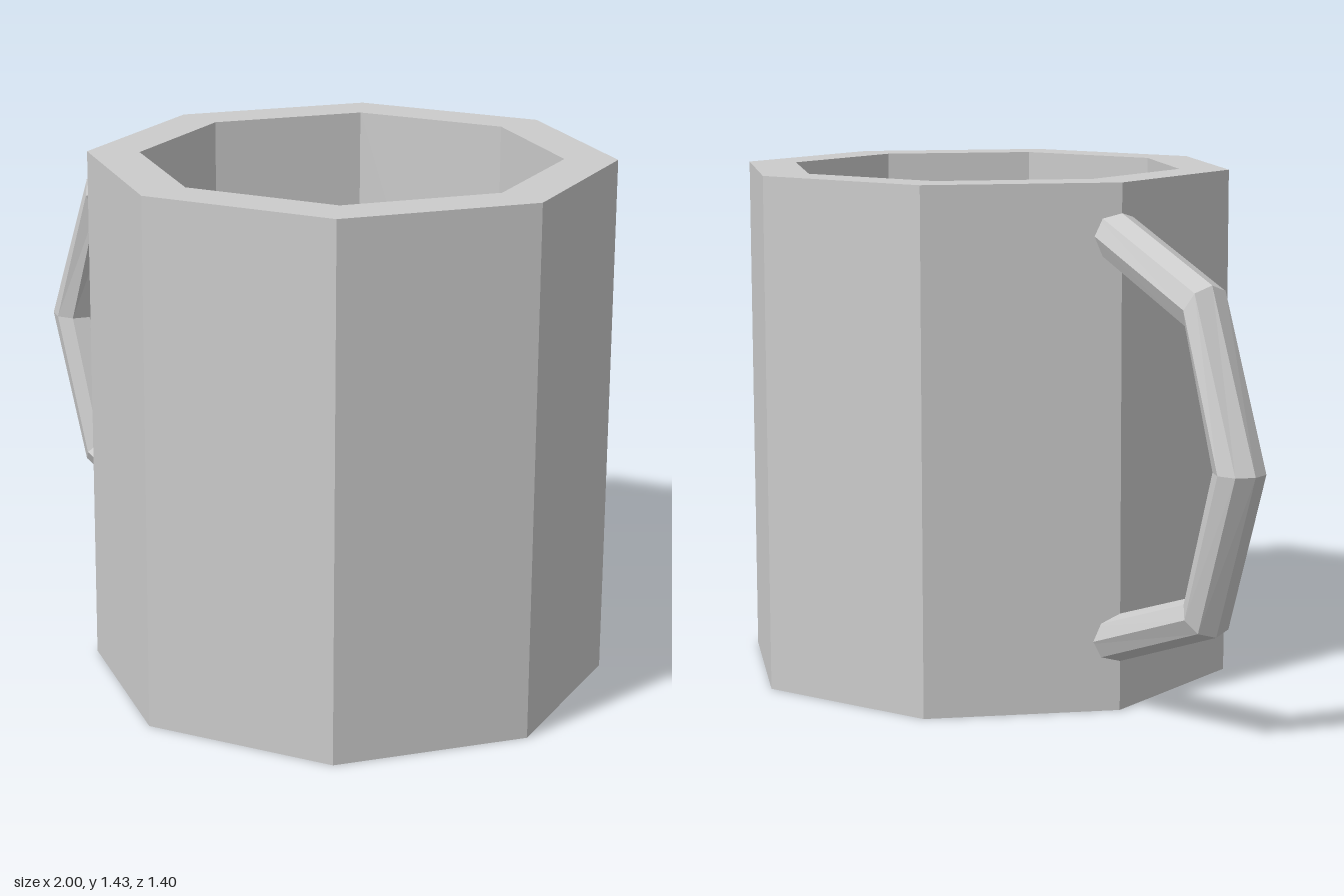
import * as THREE from 'three';

const material = () => new THREE.MeshStandardMaterial({ color: 0xcccccc, flatShading: true });

// Eight-sided cup: outer wall, rim, inner wall and floor in one profile
function createCup() {
  const profile = [[0, 0], [0.7, 0], [0.7, 1.43], [0.56, 1.43], [0.56, 0.14], [0, 0.14]]
    .map(([r, y]) => new THREE.Vector2(r, y));
  const cup = new THREE.Mesh(new THREE.LatheGeometry(profile, 8), material());
  cup.name = 'cup';
  cup.position.x = 0.3;
  return cup;
}

// Handle: eight-sided rings swept through mitred bends, closed at both ends
function createHandle() {
  const sides = 8, halfDepth = 0.068;
  // centre x, centre y, then the outward half-width vector of each ring
  const stations = [
    [-0.3, 1.316, 0, 0.07],
    [-0.778, 1.137, -0.029, 0.062],
    [-0.9315, 0.737, -0.0685, 0],
    [-0.795, 0.34, -0.0455, -0.0455],
    [-0.3, 0.168, 0, -0.067],
  ];
  const positions = [], index = [];
  for (const [x, y, mx, my] of stations) {
    for (let i = 0; i < sides; i++) {
      const a = (i / sides) * Math.PI * 2;
      positions.push(x + mx * Math.cos(a), y + my * Math.cos(a), halfDepth * Math.sin(a));
    }
  }
  for (let s = 0; s < stations.length - 1; s++) {
    for (let i = 0; i < sides; i++) {
      const j = (i + 1) % sides;
      const a = s * sides + i, b = s * sides + j, c = a + sides, d = b + sides;
      index.push(a, c, b, b, c, d);
    }
  }
  // end caps, buried in the cup wall
  const last = (stations.length - 1) * sides;
  for (let i = 1; i < sides - 1; i++) {
    index.push(0, i, i + 1, last, last + i + 1, last + i);
  }
  const geometry = new THREE.BufferGeometry();
  geometry.setAttribute('position', new THREE.Float32BufferAttribute(positions, 3));
  geometry.setIndex(index);
  geometry.computeVertexNormals();
  const mat = material();
  mat.side = THREE.DoubleSide;
  const handle = new THREE.Mesh(geometry, mat);
  handle.name = 'handle';
  return handle;
}

export function createModel() {
  const group = new THREE.Group();
  group.name = 'mug';
  group.add(createCup(), createHandle());
  return group;
}
